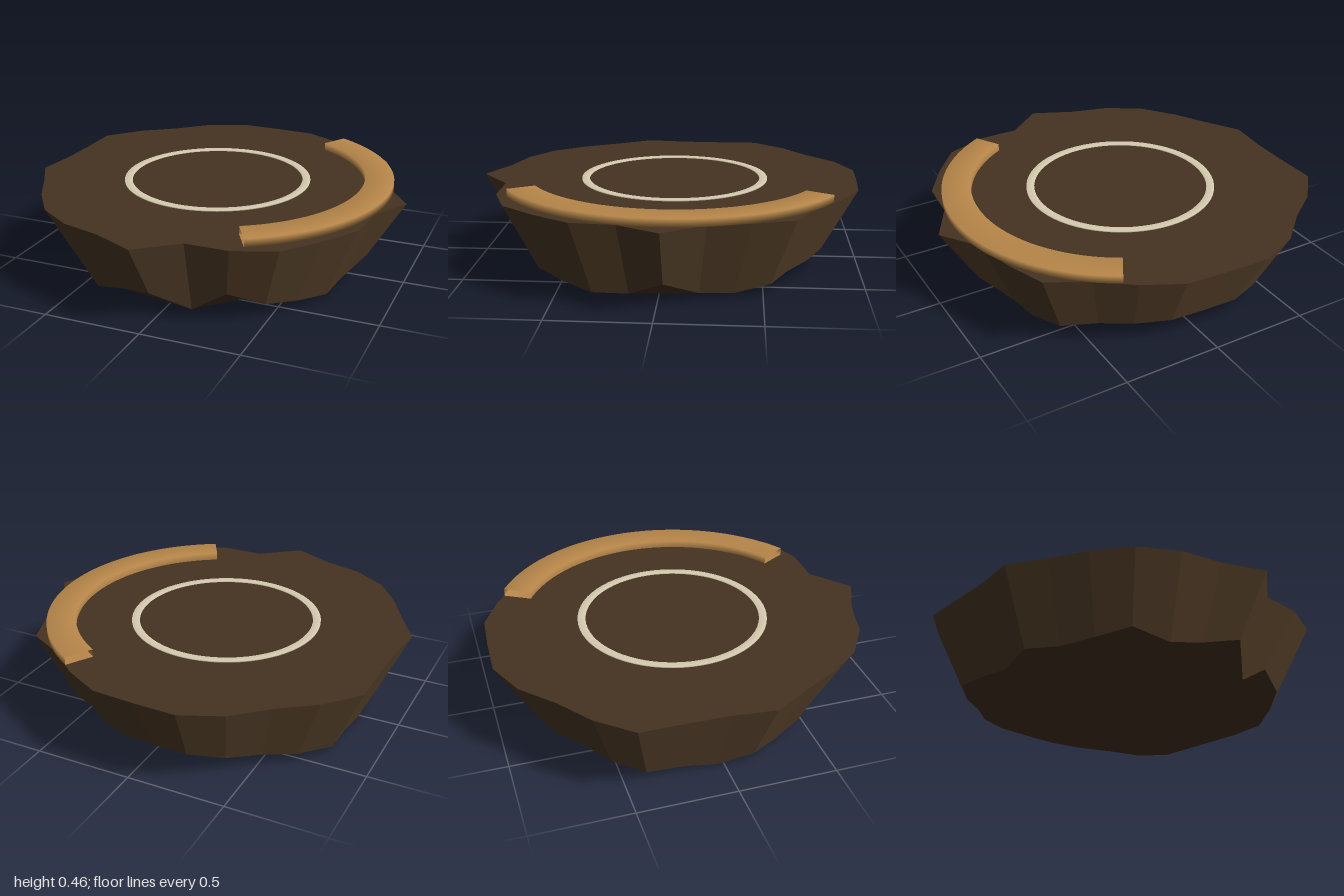
import * as THREE from 'three';

const soil = new THREE.MeshStandardMaterial({ color: 0x453320, side: THREE.DoubleSide });
soil.name = 'darkBrown';
const wood = new THREE.MeshStandardMaterial({ color: 0xb8874a, side: THREE.DoubleSide });
wood.name = 'tan';
const pale = new THREE.MeshStandardMaterial({ color: 0xd8cdb2 });
pale.name = 'paleCream';

const TOP = 0.42, TAPER = 0.82;
const CX = -0.04, CZ = -0.03;

// Slab rim at equal angles from +x towards +z: radius of the top edge, y of the lower edge
const RIM = [
  [1.02, 0.115], [0.93, 0.03], [0.985, 0.027], [0.985, 0.045], [1.01, 0.07], [0.966, 0.12], [0.893, 0.005],
  [1.03, 0.12], [0.955, 0.075], [0.97, 0.035], [0.967, 0.1], [0.935, 0.06], [0.921, 0.04], [0.963, 0.05],
  [0.915, 0.01], [0.933, 0.035], [1.01, 0.045], [0.975, 0.05], [0.94, 0.065], [0.98, 0.08], [0.996, 0.095],
  [0.965, 0.095], [0.975, 0.095], [0.944, 0.08], [0.92, 0.065], [0.988, 0.055], [0.94, 0.03], [0.905, 0.035],
];
const STEP = (Math.PI * 2) / RIM.length;

// Extruded irregular outline whose lower edge is drawn in and set to uneven heights
function slabGeometry() {
  const outline = RIM.map(([r], i) => new THREE.Vector2(r * Math.cos(i * STEP), r * Math.sin(i * STEP)));
  const geo = new THREE.ExtrudeGeometry(new THREE.Shape(outline), { depth: TOP, bevelEnabled: false });
  geo.rotateX(Math.PI / 2).translate(0, TOP, 0);
  const p = geo.attributes.position;
  for (let i = 0; i < p.count; i++) {
    if (p.getY(i) > TOP / 2) continue;
    const x = p.getX(i), z = p.getZ(i);
    const k = (Math.round(Math.atan2(z, x) / STEP) + RIM.length) % RIM.length;
    p.setXYZ(i, x * TAPER, RIM[k][1], z * TAPER);
  }
  return geo;
}

// Rectangular section swept round the y axis; ends stay open on a partial sweep
function band(name, material, inner, outer, bottom, top, start, sweep) {
  const section = [[inner, bottom], [outer, bottom], [outer, top], [inner, top], [inner, bottom]];
  const points = section.map(([r, y]) => new THREE.Vector2(r, y));
  const mesh = new THREE.Mesh(new THREE.LatheGeometry(points, 64, start, sweep), material);
  mesh.name = name;
  mesh.position.set(CX, 0, CZ);
  return mesh;
}

export function createModel() {
  const model = new THREE.Group();
  model.name = 'roundPlatform';

  const slab = new THREE.Mesh(slabGeometry(), soil);
  slab.name = 'slab';
  slab.position.set(CX, 0, CZ);
  model.add(slab);

  // Pale circle marked on the ground
  model.add(band('groundRing', pale, 0.453, 0.494, 0.418, 0.426, 0, Math.PI * 2));

  // Curved bench along the +x side
  model.add(band('curvedBench', wood, 0.78, 0.93, 0.421, 0.461, Math.PI / 6, Math.PI * 2 / 3));

  return model;
}
